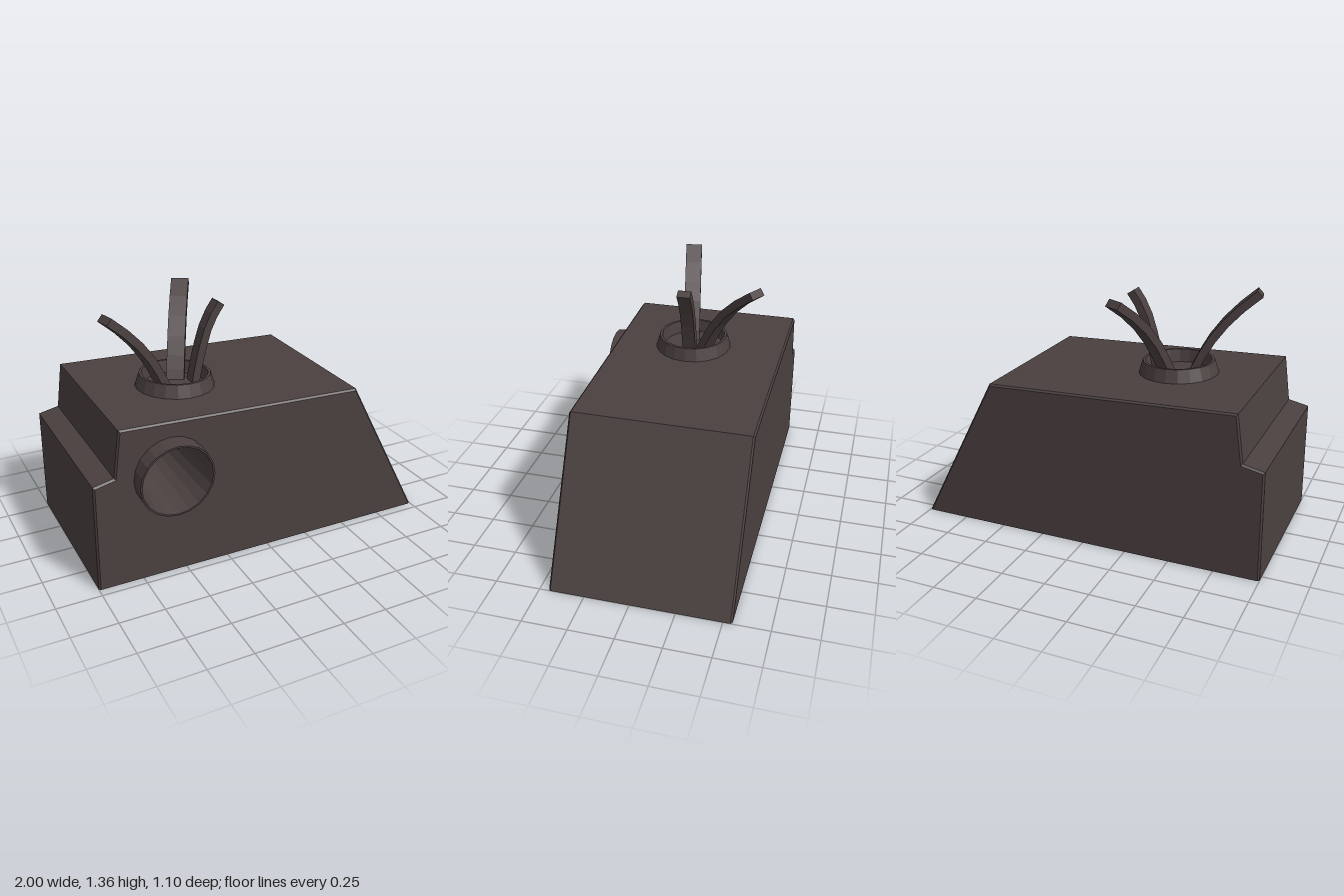
import * as THREE from 'three';

const paint = new THREE.MeshStandardMaterial({ color: 0x4b4040, flatShading: true, side: THREE.DoubleSide });
paint.name = 'dark brown';

const add = (parent, name, geometry) => {
  const mesh = new THREE.Mesh(geometry, paint);
  mesh.name = name;
  parent.add(mesh);
  return mesh;
};

// Side outline of the housing, and the same outline inset for the chamfer
const OUTER = [[-1, 0], [-0.995, 0.61], [-0.88, 0.635], [-0.845, 0.895], [0.55, 0.852], [1, 0]];
const INSET = [[-0.99, 0], [-0.985, 0.601], [-0.872, 0.626], [-0.837, 0.885], [0.544, 0.842], [0.988, 0]];

// Joins cross-sections, each a list of [x, y, z] points, with quads
function loft(sections, closed) {
  const n = sections[0].length;
  const index = [];
  for (let s = 0; s < sections.length - 1; s++) {
    for (let i = 0; i < (closed ? n : n - 1); i++) {
      const a = s * n + i, b = s * n + (i + 1) % n;
      index.push(a, b, a + n, b, b + n, a + n);
    }
  }
  if (closed) {
    const e = (sections.length - 1) * n;
    for (let i = 1; i < n - 1; i++) index.push(0, i + 1, i, e, e + i, e + i + 1);
  }
  const g = new THREE.BufferGeometry();
  g.setAttribute('position', new THREE.Float32BufferAttribute(sections.flat(2), 3));
  g.setIndex(index);
  g.computeVertexNormals();
  return g;
}

const lathe = (points, sides) =>
  new THREE.LatheGeometry(points.map(([r, h]) => new THREE.Vector2(r, h)), sides);

// Curved blade of rectangular section leaning outwards from base to tip
function blade(base, tip, width, thick) {
  const [x0, z0] = base;
  const dir = new THREE.Vector3(tip[0] - x0, 0, tip[1] - z0);
  const reach = dir.length();
  dir.normalize();
  const side = new THREE.Vector3(-dir.z, 0, dir.x);
  const curve = new THREE.CatmullRomCurve3(
    [[0, 0.87], [0.1, 0.95], [0.3, 1.08], [0.61, 1.22], [1, tip[2]]].map(([t, y]) =>
      new THREE.Vector3(x0 + dir.x * reach * t, y, z0 + dir.z * reach * t)));
  const sections = [];
  for (let k = 0; k <= 6; k++) {
    const p = curve.getPoint(k / 6);
    const normal = new THREE.Vector3().crossVectors(curve.getTangent(k / 6), side).normalize();
    sections.push([[-1, -1], [-1, 1], [1, 1], [1, -1]].map(([u, v]) =>
      p.clone().addScaledVector(side, u * width / 2).addScaledVector(normal, v * thick / 2).toArray()));
  }
  return loft(sections, true);
}

export function createModel() {
  const model = new THREE.Group();
  model.name = 'model';

  // Hollow housing, open underneath, with chamfered side edges
  const housing = new THREE.Group();
  housing.name = 'housing';
  model.add(housing);
  const ring = (outline, z) => outline.map(([x, y]) => [x, y, z]);
  add(housing, 'housingShell',
    loft([ring(INSET, 0.45), ring(OUTER, 0.44), ring(OUTER, -0.54), ring(INSET, -0.55)], false));

  const wall = () => new THREE.Shape(INSET.map(([x, y]) => new THREE.Vector2(x, y)));
  const front = wall();
  front.holes.push(new THREE.Path().absarc(-0.57, 0.595, 0.199, 0, Math.PI * 2));
  add(housing, 'frontWall', new THREE.ShapeGeometry(front, 10)).position.z = 0.45;
  const back = add(housing, 'backWall', new THREE.ShapeGeometry(wall()).scale(-1, 1, 1).rotateY(Math.PI));
  back.position.z = -0.55;
  // The mirrored outline needs its triangles reversed to face outwards
  back.geometry.index.array.reverse();

  // Tapering pipe running from the front mouth into the housing
  const pipe = add(model, 'frontPipe',
    lathe([[0.14, -0.55], [0.209, -0.1], [0.207, 0], [0.197, 0], [0.14, -0.55]], 20).rotateX(Math.PI / 2));
  pipe.position.set(-0.57, 0.588, 0.538);
  pipe.rotation.x = 0.06;

  // Raised collar on the roof
  const collar = add(model, 'roofCollar',
    lathe([[0.222, -0.015], [0.222, 0], [0.2, 0.072], [0.185, 0.072], [0.172, -0.01]], 20));
  collar.position.set(-0.35, 0.88, -0.01);
  collar.rotation.z = -0.031;

  // Three blades fanning out of the collar: base [x, z], tip [x, z, y]
  [
    [[-0.235, -0.018], [-0.075, -0.018, 1.315], 0.076, 0.045],
    [[-0.315, -0.08], [-0.13, -0.415, 1.335], 0.1, 0.045],
    [[-0.42, 0.018], [-0.765, 0.09, 1.345], 0.095, 0.045],
  ].forEach((b, i) => add(model, 'blade' + (i + 1), blade(...b)));

  return model;
}
